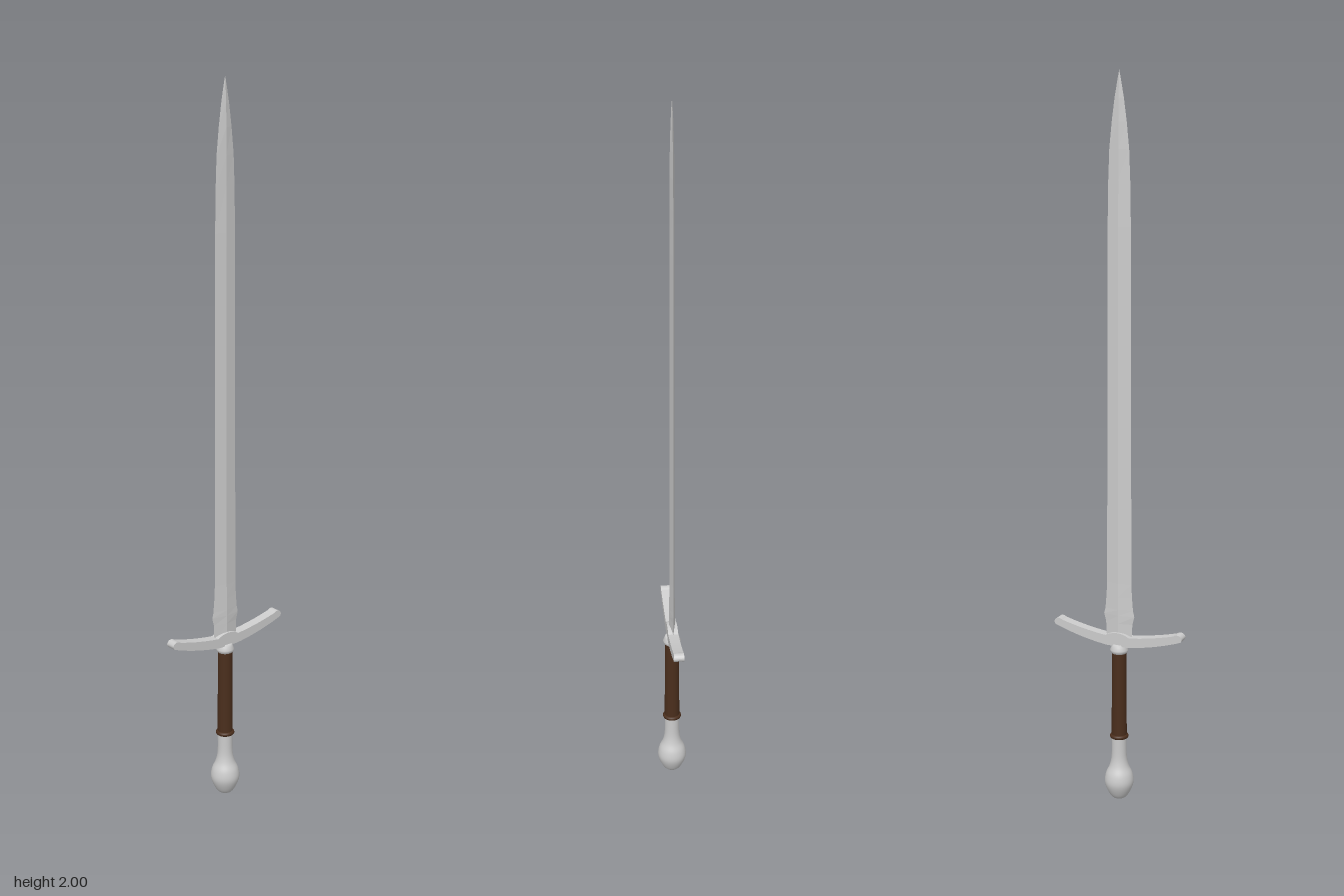
import * as THREE from 'three';

const steel = new THREE.MeshStandardMaterial({ color: 0xcccccc });
const blade = new THREE.MeshStandardMaterial({ color: 0xcccccc, flatShading: true });
const leather = new THREE.MeshStandardMaterial({ color: 0x4a2e1c });

function add(group, name, geometry, material) {
  const mesh = new THREE.Mesh(geometry, material);
  mesh.name = name;
  group.add(mesh);
  return mesh;
}

// Turned part from [radius, height] pairs, optionally smoothed
function turned(points, smooth = false) {
  let pts = points.map(([r, y]) => new THREE.Vector2(r, y));
  if (smooth) {
    pts = new THREE.SplineCurve(pts).getPoints(36);
    pts.forEach((p) => { p.x = Math.max(p.x, 0); });
  }
  return new THREE.LatheGeometry(pts, 32);
}

// Diamond-section blade lofted through [height, half width, half thickness]
function bladeGeometry(sections) {
  const rings = sections.map(([y, w, t]) => [[t, y, 0], [0, y, -w], [-t, y, 0], [0, y, w]]);
  const pos = [];
  for (let i = 0; i < rings.length - 1; i++) {
    for (let j = 0; j < 4; j++) {
      const k = (j + 1) % 4;
      const a = rings[i][j], b = rings[i][k], c = rings[i + 1][k], d = rings[i + 1][j];
      pos.push(...a, ...b, ...c, ...a, ...c, ...d);
    }
  }
  const g = new THREE.BufferGeometry();
  g.setAttribute('position', new THREE.Float32BufferAttribute(pos, 3));
  g.computeVertexNormals();
  return g;
}

// Upswept crossguard outline, extruded through the sword's thickness
function guardGeometry() {
  const s = new THREE.Shape();
  s.moveTo(-0.03, 0.452);
  s.lineTo(0.03, 0.452);
  s.quadraticCurveTo(0.11, 0.462, 0.186, 0.49);
  s.quadraticCurveTo(0.194, 0.499, 0.184, 0.507);
  s.quadraticCurveTo(0.176, 0.512, 0.165, 0.505);
  s.quadraticCurveTo(0.1, 0.487, 0.035, 0.48);
  s.quadraticCurveTo(0, 0.5, -0.035, 0.48);
  s.quadraticCurveTo(-0.1, 0.487, -0.165, 0.505);
  s.quadraticCurveTo(-0.176, 0.512, -0.184, 0.507);
  s.quadraticCurveTo(-0.194, 0.499, -0.186, 0.49);
  s.quadraticCurveTo(-0.11, 0.462, -0.03, 0.452);
  const g = new THREE.ExtrudeGeometry(s, { depth: 0.028, bevelEnabled: false, curveSegments: 10 });
  g.translate(0, 0, -0.014);
  g.rotateY(Math.PI / 2);
  return g;
}

export function createModel() {
  const sword = new THREE.Group();
  sword.name = 'sword';

  // Pear-shaped pommel with its neck
  add(sword, 'pommel', turned([
    [0, 0], [0.018, 0.004], [0.031, 0.022], [0.04, 0.048], [0.037, 0.074],
    [0.026, 0.1], [0.021, 0.13], [0.021, 0.185],
  ], true), steel);

  // Leather grip and its end ring
  const grip = new THREE.CylinderGeometry(0.02, 0.021, 0.255, 32);
  add(sword, 'grip', grip, leather).position.y = 0.3075;
  const ring = new THREE.TorusGeometry(0.02, 0.006, 10, 32);
  ring.rotateX(Math.PI / 2);
  add(sword, 'gripRing', ring, leather).position.y = 0.186;

  // Collar under the guard
  add(sword, 'collar', turned([
    [0.018, 0.428], [0.024, 0.433], [0.025, 0.44], [0.021, 0.449], [0.018, 0.456], [0, 0.456],
  ]), steel);

  add(sword, 'crossguard', guardGeometry(), steel);

  // Blade with a flared base and a curved taper to the point
  add(sword, 'blade', bladeGeometry([
    [0.47, 0.038, 0.008], [0.515, 0.039, 0.008], [0.538, 0.045, 0.008], [0.555, 0.041, 0.008],
    [0.59, 0.038, 0.0075], [0.63, 0.036, 0.007], [1.6, 0.033, 0.0065], [1.72, 0.031, 0.006],
    [1.8, 0.028, 0.006], [1.87, 0.021, 0.0055], [1.93, 0.013, 0.004], [1.975, 0.005, 0.002],
    [2, 0, 0],
  ]), blade);

  return sword;
}
